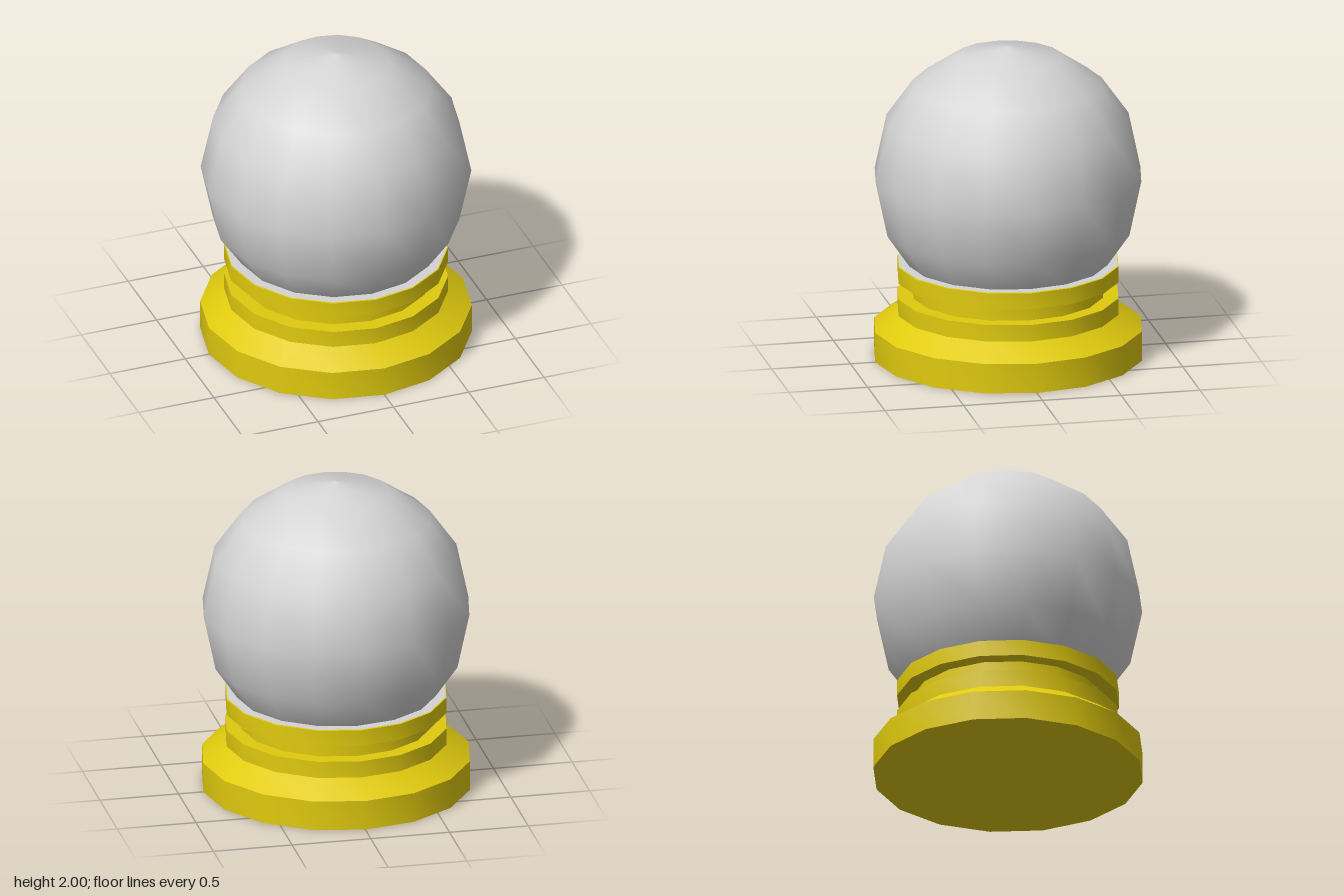
import * as THREE from 'three';
import { toCreasedNormals } from 'three/addons/utils/BufferGeometryUtils.js';

const SIDES = 16;

// Revolve a bottom-to-top profile of [radius, y] pairs
function lathe(points) {
  return new THREE.LatheGeometry(points.map(([r, y]) => new THREE.Vector2(r, y)), SIDES);
}

export function createModel() {
  const model = new THREE.Group();
  const gold = new THREE.MeshStandardMaterial({ color: 0xe0ca0e });
  gold.name = 'yellow base';
  const grey = new THREE.MeshStandardMaterial({ color: 0xd4d4d4 });
  grey.name = 'pale grey globe';

  const add = (name, geometry, material) => {
    const mesh = new THREE.Mesh(geometry, material);
    mesh.name = name;
    model.add(mesh);
    return mesh;
  };

  // Stepped pedestal with sloped shoulder and a groove under the rim
  const base = lathe([
    [0, 0], [0.843, 0], [0.843, 0.19], [0.695, 0.29], [0.695, 0.397],
    [0.6, 0.397], [0.6, 0.5], [0.695, 0.5], [0.695, 0.603], [0, 0.603],
  ]);
  add('base', toCreasedNormals(base, Math.PI / 6), gold);

  // Thin pale floor lying on the rim
  const floor = new THREE.CircleGeometry(0.69, SIDES);
  floor.rotateX(-Math.PI / 2);
  add('floor', floor, grey).position.y = 0.608;

  // Faceted-outline, smooth-shaded globe cut off at the base
  const globe = lathe([
    [0.627, 0.609], [0.765, 0.81], [0.84, 1.163], [0.765, 1.515],
    [0.594, 1.755], [0.335, 1.93], [0, 2],
  ]);
  add('globe', globe, grey);

  return model;
}
